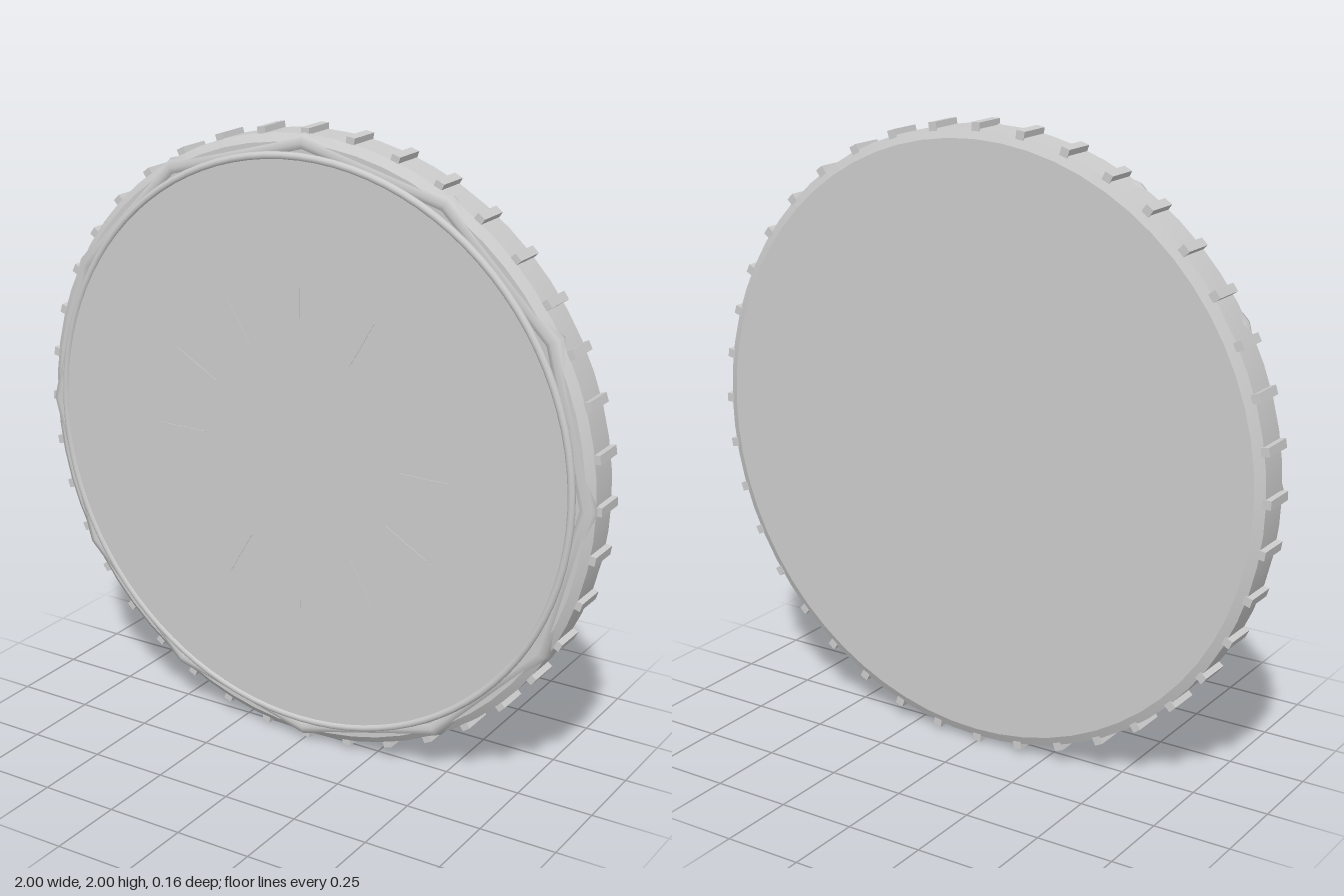
import * as THREE from 'three';
import { toCreasedNormals } from 'three/addons/utils/BufferGeometryUtils.js';

const material = new THREE.MeshStandardMaterial({ color: 0xcccccc });

function add(parent, name, geometry) {
  const mesh = new THREE.Mesh(geometry, material);
  mesh.name = name;
  parent.add(mesh);
  return mesh;
}

// Solid of revolution around z; profile is [radius, z] from back to front
function turned(profile, segments) {
  const points = profile.map(([r, z]) => new THREE.Vector2(r, z));
  return toCreasedNormals(new THREE.LatheGeometry(points, segments).rotateX(Math.PI / 2), 0.4);
}

// Repeats a mesh evenly around the z axis
function ring(parent, name, count, radius, z, geometry) {
  const group = new THREE.Group();
  group.name = name + 's';
  for (let i = 0; i < count; i++) {
    const a = (i / count) * Math.PI * 2;
    const mesh = add(group, name, geometry);
    mesh.position.set(Math.cos(a) * radius, Math.sin(a) * radius, z);
    mesh.rotation.z = a;
  }
  parent.add(group);
}

export function createModel() {
  const model = new THREE.Group();
  model.name = 'disc';
  const disc = new THREE.Group();
  disc.name = 'discParts';
  disc.position.y = 1;
  model.add(disc);

  // Main body with a narrow chamfer at the back and front edges
  add(disc, 'body', turned([
    [0, -0.08], [0.95, -0.08], [0.98, -0.065], [0.98, 0.04], [0.955, 0.06], [0, 0.06],
  ], 64));

  // Raised front plate
  add(disc, 'frontPlate', turned([[0, 0.05], [0.925, 0.05], [0.925, 0.076], [0, 0.076]], 64));

  // Fine round lip around the face
  const lip = add(disc, 'faceLip', new THREE.TorusGeometry(0.917, 0.012, 10, 96));
  lip.position.z = 0.071;

  // Twelve-sided bevel around the front edge
  const bevel = add(disc, 'frontBevel', new THREE.TorusGeometry(0.955, 0.032, 8, 12));
  bevel.position.z = 0.035;

  // Grip ridges around the edge
  ring(disc, 'edgeRidge', 40, 0.983, -0.014, new THREE.BoxGeometry(0.03, 0.028, 0.11));

  // Shallow radial marks on the face
  ring(disc, 'faceMark', 12, 0.44, 0.075, new THREE.BoxGeometry(0.17, 0.004, 0.006));

  return model;
}
